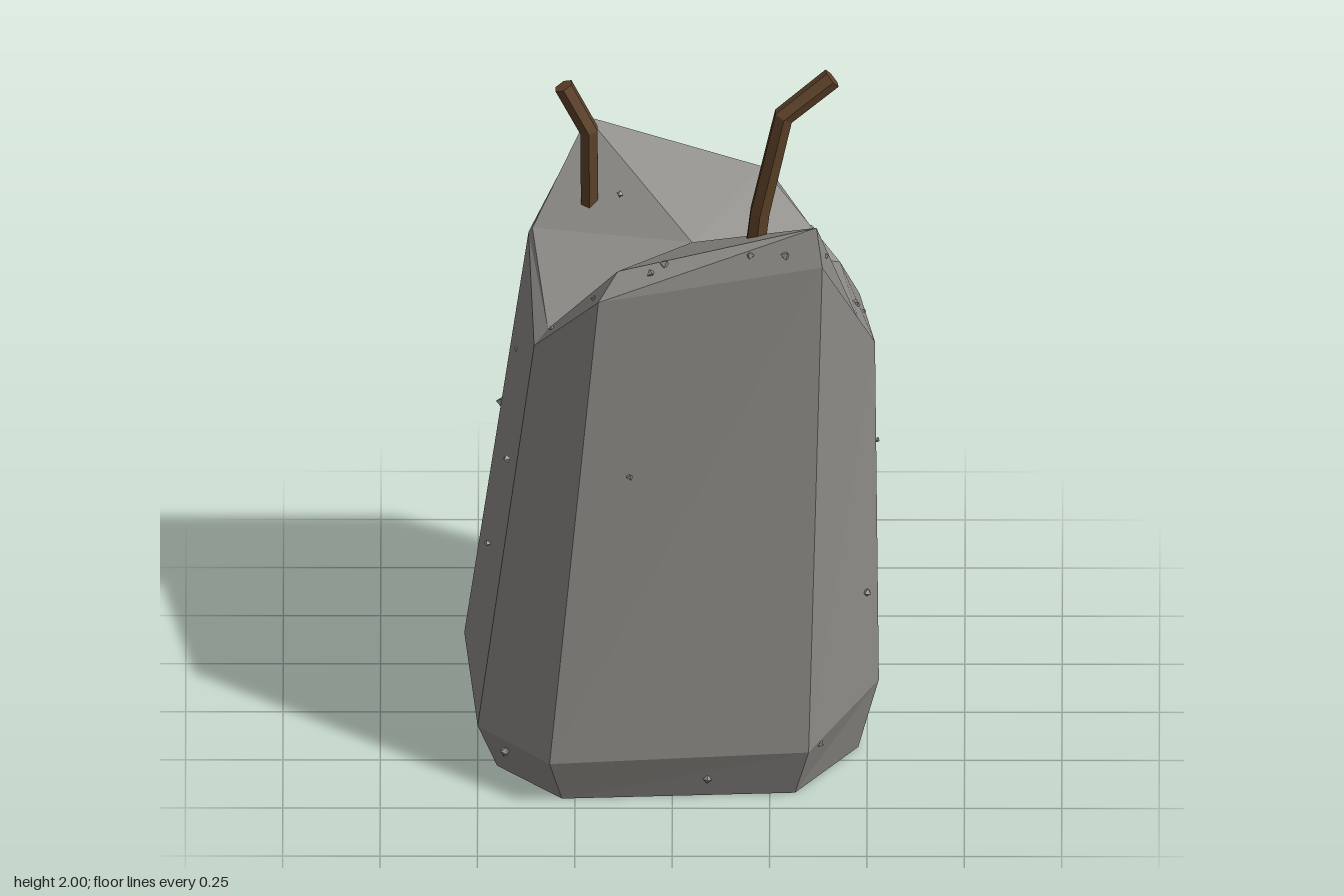
import * as THREE from 'three';

// Skin a stack of rings (each listed clockwise seen from its upper end) and close both ends.
function loft(rings, bottomCentre, topCentre) {
  const pos = [];
  const tri = (...pts) => pts.forEach((p) => pos.push(p.x, p.y, p.z));
  const n = rings[0].length;
  const last = rings[rings.length - 1];
  for (let i = 0; i < n; i++) {
    const j = (i + 1) % n;
    for (let r = 0; r < rings.length - 1; r++) {
      const lo = rings[r], hi = rings[r + 1];
      tri(lo[j], lo[i], hi[i]);
      tri(lo[j], hi[i], hi[j]);
    }
    tri(rings[0][i], rings[0][j], bottomCentre);
    tri(topCentre, last[j], last[i]);
  }
  const geo = new THREE.BufferGeometry();
  geo.setAttribute('position', new THREE.Float32BufferAttribute(pos, 3));
  geo.computeVertexNormals();
  return geo;
}

const vec = ([x, y, z]) => new THREE.Vector3(x, y, z);

// Six-sided rod along a bent path, mitred at the bends.
function rod(path, radius) {
  const pts = path.map(vec);
  const rings = pts.map((p, k) => {
    const t = new THREE.Vector3();
    if (k > 0) t.add(p.clone().sub(pts[k - 1]).normalize());
    if (k < pts.length - 1) t.add(pts[k + 1].clone().sub(p).normalize());
    t.normalize();
    const u = new THREE.Vector3(0, 0, -1);
    u.addScaledVector(t, -u.dot(t)).normalize();
    const v = u.clone().cross(t);
    return Array.from({ length: 6 }, (_, i) => {
      const a = (i / 6) * Math.PI * 2;
      return p.clone().addScaledVector(u, radius * Math.cos(a)).addScaledVector(v, radius * Math.sin(a));
    });
  });
  return loft(rings, pts[0], pts[pts.length - 1]);
}

export function createModel() {
  const group = new THREE.Group();
  const concrete = new THREE.MeshStandardMaterial({ color: 0x8c8a86 });
  concrete.name = 'concrete grey';
  const rust = new THREE.MeshStandardMaterial({ color: 0x5e4229 });
  rust.name = 'rusty brown';
  const add = (name, geo, mat, parent = group) => {
    const mesh = new THREE.Mesh(geo, mat);
    mesh.name = name;
    parent.add(mesh);
    return mesh;
  };

  // Broken pillar: base, belt, shoulder and jagged rim around a sunken centre
  const belt = [
    [0.21, 0.14, -0.5], [0.48, 0.14, -0.37], [0.53, 0.21, 0.2], [0.35, 0.145, 0.465],
    [-0.315, 0.13, 0.5], [-0.5, 0.135, 0.31], [-0.535, 0.13, -0.185], [-0.385, 0.14, -0.42],
  ];
  const base = belt.map(([x, , z]) => [x * 0.9, 0, z * 0.9]);
  const shoulder = [
    [0.26, 1.34, -0.43], [0.48, 1.06, -0.31], [0.52, 1.19, 0.17], [0.385, 1.54, 0.4],
    [-0.19, 1.45, 0.425], [-0.355, 1.235, 0.27], [-0.37, 1.33, -0.155], [-0.24, 1.5, -0.36],
  ];
  const rim = [
    [0.23, 1.41, -0.355], [0.43, 1.17, -0.28], [0.48, 1.24, 0.155], [0.37, 1.64, 0.37],
    [-0.14, 1.5, 0.35], [-0.32, 1.27, 0.245], [-0.36, 1.345, -0.15], [-0.22, 1.565, -0.34],
  ];
  const rings = [base, belt, shoulder, rim].map((ring) => ring.map(vec));
  add('brokenPillar', loft(rings, vec([0, 0, 0]), vec([0.05, 1.37, -0.03])), concrete);

  // Bent reinforcing rods
  add('tallRod', rod([[0.19, 1.3, 0.21], [0.225, 1.6, 0.212], [0.285, 1.88, 0.212], [0.41, 1.98, 0.19]], 0.028), rust);
  add('shortRod', rod([[-0.212, 1.25, -0.182], [-0.215, 1.615, -0.182], [-0.28, 1.745, -0.182]], 0.026), rust);

  // Small chips sitting on the surface
  const chips = [
    [0.355, 1.23, -0.355], [0.385, 1.18, -0.345], [0.295, 1.27, -0.05], [0.47, 1.2, -0.01],
    [0.49, 1.15, -0.06], [-0.135, 1.45, -0.14], [-0.26, 1.44, -0.315], [-0.28, 1.42, -0.28],
    [-0.31, 1.29, 0.275], [-0.2, 1.43, 0.37], [-0.055, 1.51, 0.38], [-0.02, 1.53, 0.365],
    [-0.01, 1.48, 0.29], [0.12, 1.53, 0.375], [0.2, 1.57, 0.39], [0.29, 1.57, 0.39],
    [0.395, 1.54, 0.34], [-0.11, 0.95, 0.45], [0.09, 0.06, 0.455], [-0.43, 0.1, 0.38],
    [-0.43, 0.08, 0.36], [0.38, 0.14, 0.41], [0.5, 0.49, 0.24], [0.5, 0.13, -0.115],
    [0.525, 0.85, 0.08], [0.42, 0.12, -0.39], [0.4, 0.04, -0.38], [-0.44, 0.78, -0.24],
    [-0.4, 1.05, -0.04], [-0.475, 0.55, 0.09], [-0.425, 0.85, 0.18], [-0.26, 0.25, -0.425],
    [-0.155, 0.5, -0.43], [-0.13, 0.4, -0.435], [-0.06, 1.25, -0.38], [0, 0.95, -0.41],
  ];
  const chipGroup = new THREE.Group();
  chipGroup.name = 'chips';
  group.add(chipGroup);
  const chipGeo = new THREE.OctahedronGeometry(1);
  chips.forEach((p, i) => {
    const chip = add('chip', chipGeo, concrete, chipGroup);
    chip.position.copy(vec(p));
    chip.rotation.set(i * 1.3, i * 2.1, i * 0.7);
    chip.scale.setScalar(0.008 + 0.002 * (i % 4));
  });
  return group;
}
